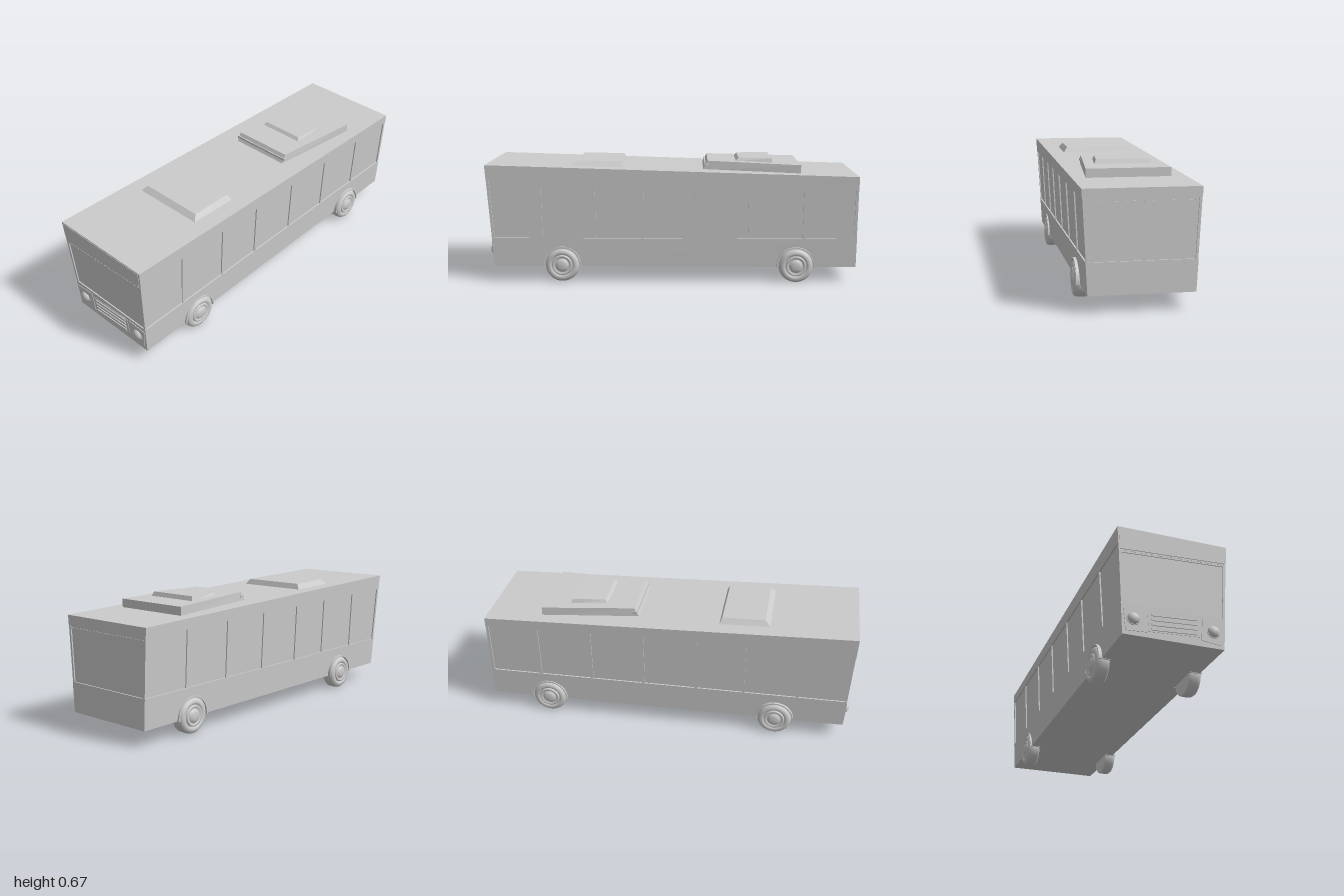
import * as THREE from 'three';

const grey = new THREE.MeshStandardMaterial({ color: 0xcccccc });
const lerp = THREE.MathUtils.lerp;

// body form: roof falls to the rear, sides flare upward, nose leans forward
const roofY = z => 0.614 + 0.03 * z;
const bandY = z => 0.546 + 0.012 * z;
const rise = y => (y - 0.085) / 0.555;
const noseZ = y => 0.97 + 0.03 * rise(y);

function onBody(u, y, z) {
  const lean = Math.max(0, (z - 0.8) / 0.2);
  return [u * (0.258 + 0.029 * rise(y)) + 0.006 * z, y, z - lean * (1 - noseZ(y))];
}

export function createModel() {
  const bus = new THREE.Group();
  bus.name = 'bus';

  function add(name, geometry, parent = bus) {
    const mesh = new THREE.Mesh(geometry, grey);
    mesh.name = name;
    parent.add(mesh);
    return mesh;
  }

  // a box whose corners (a, b, c in 0..1) are moved by a rule
  function warpBox(name, rule) {
    const g = new THREE.BoxGeometry(1, 1, 1).toNonIndexed();
    const p = g.attributes.position;
    for (let i = 0; i < p.count; i++)
      p.setXYZ(i, ...rule(p.getX(i) + 0.5, p.getY(i) + 0.5, p.getZ(i) + 0.5));
    g.computeVertexNormals();
    return add(name, g);
  }

  // a block following the body form; heights may vary along z
  function block(name, u0, u1, y0, y1, z0, z1) {
    const at = (y, z) => (typeof y === 'function' ? y(z) : y);
    return warpBox(name, (a, b, c) => {
      const z = lerp(z0, z1, c);
      return onBody(lerp(u0, u1, a), lerp(at(y0, z), at(y1, z), b), z);
    });
  }

  // a thin panel lying on the leaning nose
  function nosePanel(name, points, back, proud) {
    const shape = new THREE.Shape(points.map(q => new THREE.Vector2(...q)));
    const g = new THREE.ExtrudeGeometry(shape, { depth: proud - back, bevelEnabled: false });
    const p = g.attributes.position;
    for (let i = 0; i < p.count; i++) p.setZ(i, p.getZ(i) + back + noseZ(p.getY(i)));
    g.computeVertexNormals();
    return add(name, g);
  }

  // shell: recessed glass core between skirt and roof band
  block('glazing', -0.97, 0.97, 0.1, z => roofY(z) - 0.01, -0.993, 0.993);
  block('skirt', -1, 1, 0.085, 0.243, -1, 1);
  block('roofBand', -1, 1, bandY, roofY, -1, 1);

  // side pillars and corner posts
  for (const s of [-1, 1]) {
    const [u0, u1] = s < 0 ? [-0.995, -0.95] : [0.95, 0.995];
    for (const z of [0.71, 0.42, 0.16, -0.13, -0.42, -0.715])
      block('windowPillar', u0, u1, 0.24, bandY, z - 0.007, z + 0.007);
    for (const z of [-0.992, 0.992])
      block('cornerPost', u0, u1, 0.24, bandY, z - 0.0075, z + 0.0075);
  }

  // nose: sloping destination header, vent strip and lower panels
  nosePanel('frontHeader', [[-0.267, 0.525], [0.277, 0.55], [0.283, 0.637], [-0.272, 0.637]], -0.008, 0.002);
  nosePanel('frontVentStrip', [[-0.267, 0.508], [0.283, 0.535], [0.283, 0.56], [-0.267, 0.54]], -0.012, -0.002);
  nosePanel('windscreenSill', [[-0.262, 0.238], [0.268, 0.238], [0.268, 0.246], [-0.262, 0.246]], -0.01, 0);
  for (let i = 0; i < 20; i++) {
    const x = -0.245 + i * 0.0265, y = 0.517 + (x + 0.25) * 0.046;
    nosePanel('frontVentSlot', [[x, y], [x + 0.015, y + 0.0007], [x + 0.015, y + 0.0037], [x, y + 0.003]], -0.004, 0);
  }
  nosePanel('grillePanel', [[-0.122, 0.115], [0.142, 0.13], [0.135, 0.228], [-0.128, 0.212]], -0.004, 0.002);
  for (let i = 0; i < 4; i++) {
    const y = 0.123 + i * 0.0245;
    nosePanel('grilleSlat', [[-0.107, y], [0.123, y + 0.014], [0.12, y + 0.024], [-0.109, y + 0.01]], -0.002, 0.007);
  }
  nosePanel('rightLampPanel', [[-0.236, 0.105], [-0.13, 0.11], [-0.137, 0.23], [-0.25, 0.222]], -0.004, 0.003);
  nosePanel('leftLampPanel', [[0.145, 0.115], [0.25, 0.103], [0.265, 0.222], [0.152, 0.23]], -0.004, 0.003);

  // headlights
  for (const x of [-0.198, 0.207]) {
    const lamp = new THREE.Group();
    lamp.name = 'headlight';
    lamp.position.set(x, 0.169, noseZ(0.169) + 0.002);
    add('headlightRim', new THREE.TorusGeometry(0.032, 0.003, 8, 32), lamp);
    const lens = add('headlightLens', new THREE.SphereGeometry(0.03, 24, 12, 0, Math.PI * 2, 0, Math.PI / 2), lamp);
    lens.rotation.x = Math.PI / 2;
    lens.scale.y = 0.65;
    bus.add(lamp);
  }

  // rear vent strip under the roof band
  block('rearVentStrip', -0.97, 0.97, 0.508, 0.538, -0.996, -0.98);
  for (let i = 0; i < 20; i++) {
    const u = -0.93 + i * 0.095;
    block('rearVentSlot', u, u + 0.055, 0.519, 0.523, -0.999, -0.99);
  }

  // front roof hatch
  warpBox('frontRoofHatch', (a, b, c) => [
    lerp(-1, 1, a) * lerp(0.2, 0.177, b),
    b ? lerp(0.652, 0.657, c) : roofY(lerp(0.27, 0.545, c)) - 0.004,
    lerp(lerp(0.27, 0.285, b), lerp(0.545, 0.515, b), c)]);

  // rear roof unit: wider toward the back, with a smaller raised lid
  const unitTop = z => lerp(0.638, 0.655, (z + 0.69) / 0.5);
  warpBox('rearRoofUnit', (a, b, c) => {
    const z = c ? lerp(-0.165, -0.192, b) : -0.695;
    return [lerp(-1, 1, a) * lerp(0.213, 0.166, c), b ? unitTop(z) : roofY(z) - 0.006, z];
  });
  block('rearUnitLip', -0.6, 0.6, 0.622, 0.636, -0.2, -0.176);
  warpBox('rearUnitLid', (a, b, c) => {
    const z = lerp(lerp(-0.55, -0.54, b), lerp(-0.345, -0.362, b), c);
    return [lerp(-1, 1, a) * (lerp(0.148, 0.128, c) - 0.01 * b), b ? 0.666 : unitTop(z) - 0.004, z];
  });

  // wheels: tyre profile turned round the axle, inner side first
  const tyre = [[0.001, -0.035], [0.086, -0.035], [0.092, -0.028], [0.093, 0.005], [0.09, 0.022],
    [0.082, 0.032], [0.07, 0.035], [0.06, 0.033], [0.056, 0.026], [0.001, 0.026]];
  const hub = [[0.056, 0.024], [0.054, 0.034], [0.046, 0.036], [0.042, 0.03], [0.034, 0.031],
    [0.03, 0.038], [0.018, 0.041], [0.001, 0.042]];
  const turn = pts => new THREE.LatheGeometry(pts.map(q => new THREE.Vector2(...q)), 40);
  const arch = new THREE.Shape();
  arch.absarc(0, 0, 0.103, -0.1, Math.PI + 0.1, false);
  arch.absarc(0, 0, 0.095, Math.PI + 0.1, -0.1, true);
  for (const s of [-1, 1]) {
    for (const z of [0.598, -0.674]) {
      const wheel = new THREE.Group();
      wheel.name = 'wheel';
      wheel.position.set(s * 0.244, 0.093, z);
      wheel.rotation.z = -s * Math.PI / 2;
      for (const [name, pts] of [['tyre', tyre], ['hubcap', hub]])
        add(name, turn(pts), wheel).material = grey;
      bus.add(wheel);
      const flare = add('wheelArch', new THREE.ExtrudeGeometry(arch, { depth: 0.065, bevelEnabled: false, curveSegments: 28 }));
      flare.rotation.y = Math.PI / 2;
      flare.position.set(s > 0 ? 0.208 : -0.273, 0.093, z);
    }
  }
  return bus;
}
